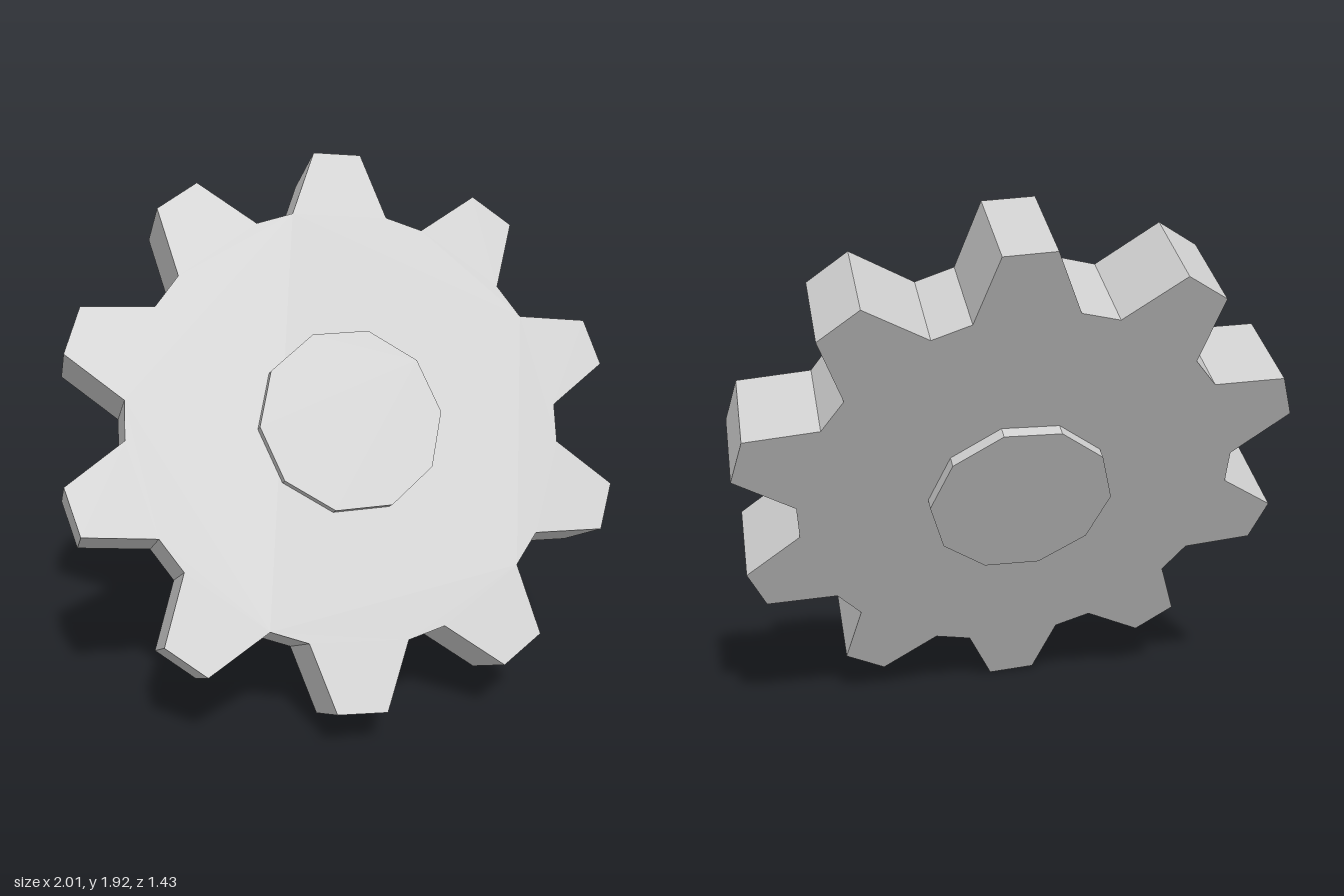
import * as THREE from 'three';

const TEETH = 10;
const STEP = (Math.PI * 2) / TEETH;
const TIP_RADIUS = 1.011;
const ROOT_RADIUS = 0.787;
const THICKNESS = 0.325;
const HUB_RADIUS = 0.33;
const HUB_HEIGHT = 0.043;
const deg = THREE.MathUtils.degToRad;
const FIRST_TOOTH = deg(12.3);
const TIP_HALF = deg(5);
const BASE_HALF = deg(12.9);

const polar = (radius, angle) =>
  new THREE.Vector2(radius * Math.cos(angle), radius * Math.sin(angle));

export function createModel() {
  const grey = new THREE.MeshStandardMaterial({ color: 0xcccccc });
  grey.name = 'light grey';

  const model = new THREE.Group();
  model.name = 'cogwheel';

  // Toothed body, lying in the local xy plane with its axle along z
  const outline = [];
  for (let i = 0; i < TEETH; i++) {
    const a = FIRST_TOOTH + i * STEP;
    outline.push(
      polar(ROOT_RADIUS, a - BASE_HALF),
      polar(TIP_RADIUS, a - TIP_HALF),
      polar(TIP_RADIUS, a + TIP_HALF),
      polar(ROOT_RADIUS, a + BASE_HALF)
    );
  }
  const bodyGeometry = new THREE.ExtrudeGeometry(new THREE.Shape(outline), {
    depth: THICKNESS,
    bevelEnabled: false,
  });
  bodyGeometry.translate(0, 0, -THICKNESS / 2);
  const body = new THREE.Mesh(bodyGeometry, grey);
  body.name = 'toothedBody';

  // Raised ten-sided hub on each face, corners in line with the tooth roots
  const corners = [];
  for (let i = 0; i < TEETH; i++) {
    corners.push(polar(HUB_RADIUS, FIRST_TOOTH - BASE_HALF + i * STEP));
  }
  const hubGeometry = new THREE.ExtrudeGeometry(new THREE.Shape(corners), {
    depth: HUB_HEIGHT,
    bevelEnabled: false,
  });
  const frontHub = new THREE.Mesh(hubGeometry, grey);
  frontHub.name = 'frontHub';
  frontHub.position.z = THICKNESS / 2;
  const backHub = new THREE.Mesh(hubGeometry, grey);
  backHub.name = 'backHub';
  backHub.position.z = -THICKNESS / 2 - HUB_HEIGHT;

  // Tilt the wheel so its axle leans up and to one side
  const wheel = new THREE.Group();
  wheel.name = 'tiltedWheel';
  const axle = new THREE.Vector3(0.293, 0.498, 0.816).normalize();
  const across = new THREE.Vector3(axle.y, -axle.x, 0).normalize();
  const up = new THREE.Vector3().crossVectors(axle, across);
  wheel.quaternion.setFromRotationMatrix(new THREE.Matrix4().makeBasis(across, up, axle));
  wheel.position.y = 0.955;
  wheel.add(body, frontHub, backHub);

  model.add(wheel);
  return model;
}
